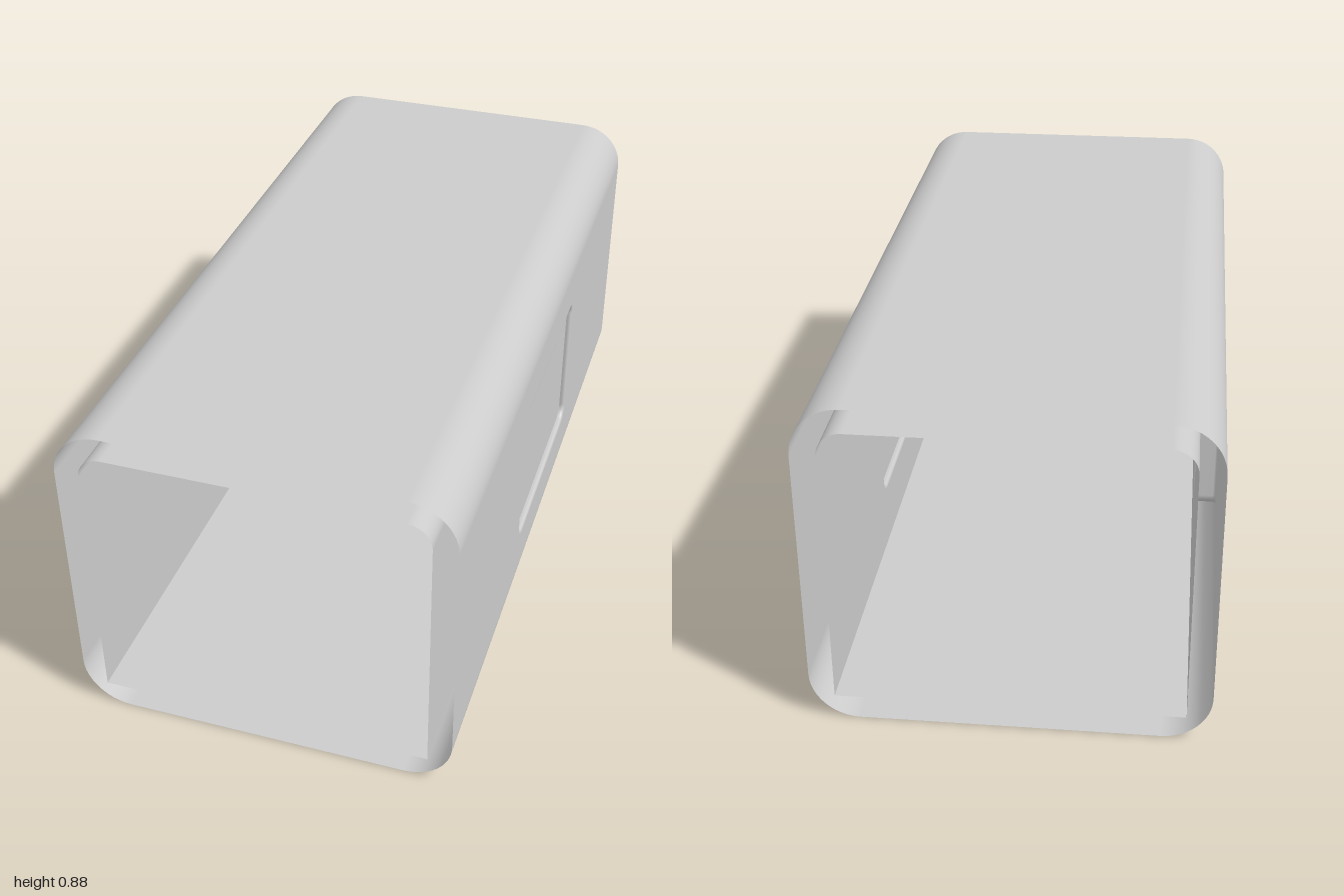
import * as THREE from 'three';

const W = 0.5, H = 0.875, T = 0.0625, LEN = 2;       // half width, height, wall gap, length
const R = 0.125;                                     // outer corner radius
const WIN = { z: 0.3, y: 0.2, cy: H / 2, r: 0.035 }; // window half sizes, centre height, corner radius
const LIP = 0.01, RECESS = 0.015;                    // rim fillet and panel recess

const material = new THREE.MeshStandardMaterial({ color: 0xcccccc, side: THREE.DoubleSide });

function add(parent, name, geometry) {
  const mesh = new THREE.Mesh(geometry, material);
  mesh.name = name;
  parent.add(mesh);
  return mesh;
}

// Grid surface from rows of [x, y, z] points; optional matching normals
function loft(rows, normals) {
  const n = rows[0].length, index = [];
  for (let i = 0; i < rows.length - 1; i++) {
    for (let j = 0; j < n - 1; j++) {
      const a = i * n + j, b = a + n;
      index.push(a, b, a + 1, b, b + 1, a + 1);
    }
  }
  const g = new THREE.BufferGeometry();
  g.setAttribute('position', new THREE.Float32BufferAttribute(rows.flat(2), 3));
  g.setIndex(index);
  if (normals) g.setAttribute('normal', new THREE.Float32BufferAttribute(normals.flat(2), 3));
  else g.computeVertexNormals();
  return g;
}

// Flat top with two rounded shoulders, running the whole length
function roof(halfWidth, top, r, inward) {
  const front = [], back = [], normals = [], steps = 12;
  for (const side of [1, -1]) {
    for (let i = 0; i <= steps; i++) {
      const a = (side > 0 ? 0 : Math.PI / 2) + (i / steps) * Math.PI / 2;
      const c = Math.cos(a), s = Math.sin(a), k = inward ? -1 : 1;
      const x = side * (halfWidth - r) + r * c, y = top - r + r * s;
      front.push([x, y, LEN / 2]);
      back.push([x, y, -LEN / 2]);
      normals.push([k * c, k * s, 0]);
    }
  }
  return loft(inward ? [front, back].reverse() : [front, back], [normals, normals]);
}

// Outline of the window grown by an offset, in (z, y) about its centre
function windowPoints(offset) {
  const pts = [], steps = 8;
  for (let q = 0; q < 4; q++) {
    const sx = q === 0 || q === 3 ? 1 : -1, sy = q < 2 ? 1 : -1;
    for (let i = 0; i <= steps; i++) {
      const a = (q + i / steps) * Math.PI / 2, r = WIN.r + offset;
      pts.push(new THREE.Vector2(
        sx * (WIN.z - WIN.r) + r * Math.cos(a),
        WIN.cy + sy * (WIN.y - WIN.r) + r * Math.sin(a)));
    }
  }
  return pts;
}

// Flat side with a window opening, facing +x or -x
function sideWall(x, y0, y1, facing) {
  const shape = new THREE.Shape();
  shape.moveTo(-LEN / 2, y0).lineTo(LEN / 2, y0).lineTo(LEN / 2, y1).lineTo(-LEN / 2, y1).closePath();
  shape.holes.push(new THREE.Path(windowPoints(LIP).reverse()));
  return new THREE.ShapeGeometry(shape).rotateY(facing * Math.PI / 2).translate(x, 0, 0);
}

function windowPanel(x, facing) {
  return new THREE.ShapeGeometry(new THREE.Shape(windowPoints(0)))
    .rotateY(facing * Math.PI / 2).translate(x, 0, 0);
}

// Band joining both skins around the window, flared at each end
function windowRim() {
  const profile = [], steps = 5;
  for (let i = 0; i <= steps; i++) {
    const a = (i / steps) * Math.PI / 2;
    profile.push([W - LIP + LIP * Math.cos(a), LIP * (1 - Math.sin(a))]);
  }
  const inner = profile.map(([x, o]) => [2 * W - T - x, o]).reverse();
  const rows = [...profile, ...inner].map(([x, o]) => {
    const ring = windowPoints(o).map(p => [x, p.y, p.x]);
    return [...ring, ring[0]];
  });
  return loft(rows);
}

export function createModel() {
  const model = new THREE.Group();
  model.name = 'sleeve';

  // Outer skin: rounded top and bottom
  add(model, 'outerTop', roof(W, H, R, false));
  const base = add(model, 'outerBottom', roof(W, H, R, false));
  base.rotation.z = Math.PI;
  base.position.y = H;

  // Inner skin: rounded ceiling, square floor
  add(model, 'innerCeiling', roof(W - T, H - T, T, true));
  add(model, 'innerFloor',
    new THREE.PlaneGeometry(2 * (W - T), LEN).rotateX(-Math.PI / 2).translate(0, T, 0));

  // Both sides with their recessed windows
  for (const [name, turn] of [['leftSide', 0], ['rightSide', Math.PI]]) {
    const side = new THREE.Group();
    side.name = name;
    side.rotation.y = turn;
    add(side, 'outerWall', sideWall(W, R, H - R, 1));
    add(side, 'innerWall', sideWall(W - T, T, H - 2 * T, -1));
    add(side, 'windowRim', windowRim());
    add(side, 'outerPanel', windowPanel(W - RECESS, 1));
    add(side, 'innerPanel', windowPanel(W - T + RECESS, -1));
    model.add(side);
  }
  return model;
}
